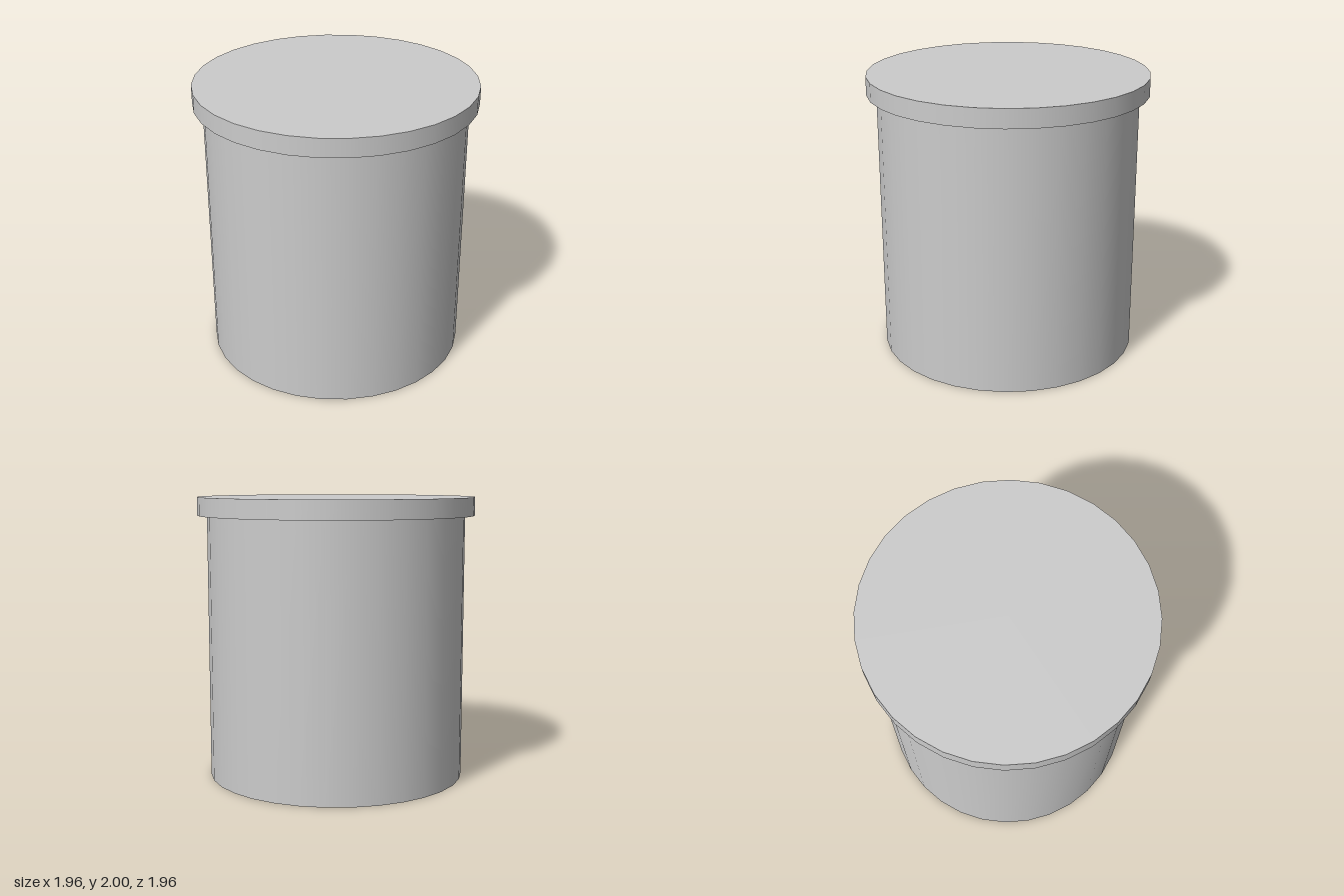
import * as THREE from 'three';

export function createModel() {
  const model = new THREE.Group();
  model.name = 'liddedCanister';
  const material = new THREE.MeshStandardMaterial({ color: 0xcccccc });

  // Upright closed cylinder between two heights
  function addDrum(name, radius, bottom, top) {
    const geometry = new THREE.CylinderGeometry(radius, radius, top - bottom, 32);
    const mesh = new THREE.Mesh(geometry, material);
    mesh.name = name;
    mesh.position.y = (bottom + top) / 2;
    model.add(mesh);
  }

  addDrum('body', 0.914, 0, 1.87);
  // Lid overhanging the body
  addDrum('lid', 0.982, 1.87, 2);

  return model;
}
